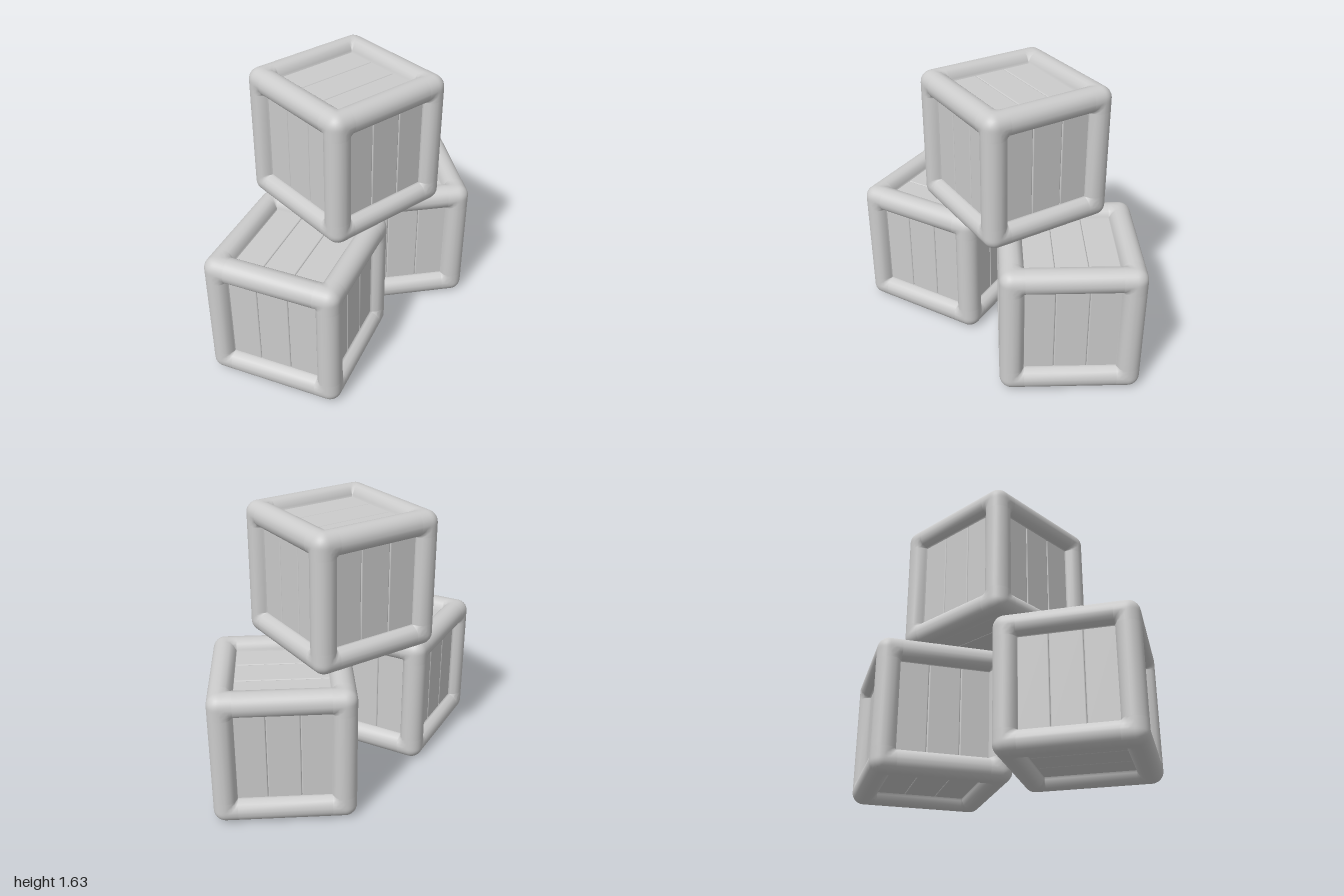
import * as THREE from 'three';
import { mergeVertices } from 'three/addons/utils/BufferGeometryUtils.js';
import { RoundedBoxGeometry } from 'three/addons/geometries/RoundedBoxGeometry.js';

const HALF = 0.4075;   // half the crate's side
const ROUND = 0.07;    // radius of the outer edges
const CORE = HALF - ROUND;

// Inner lip of the frame: [distance from face centre, height of the face]
const LIP = [[0.265, 0.33], [0.269, 0.358], [0.284, 0.387], [0.303, 0.402], [0.325, HALF]];

// Grid lines across one face, denser at the lip and the rounded edges
const outer = [0, 1, 2, 3, 4].map(i => CORE + ROUND * Math.tan(i * Math.PI / 16));
const positive = [...LIP.map(p => p[0]), ...outer];
const ticks = [...positive.map(t => -t).reverse(), ...positive];

// A subdivided box whose edges are rounded and whose faces are sunk inside the lip
function frameGeometry() {
  const n = ticks.length - 1;
  const box = new THREE.BoxGeometry(1, 1, 1, n, n, n);
  box.deleteAttribute('normal');
  box.deleteAttribute('uv');
  const geo = mergeVertices(box, 1e-5);
  const pos = geo.attributes.position;
  const p = new THREE.Vector3(), core = new THREE.Vector3();
  for (let i = 0; i < pos.count; i++) {
    const c = [0, 1, 2].map(k => ticks[Math.round((pos.getComponent(i, k) + 0.5) * n)]);
    const size = c.map(Math.abs);
    const axis = size.indexOf(Math.max(...size));
    const across = Math.max(...size.filter((_, k) => k !== axis));
    const lip = LIP.find(l => across <= l[0] + 1e-6);
    if (lip) c[axis] = Math.sign(c[axis]) * lip[1];
    p.fromArray(c);
    if (!lip) {
      core.copy(p).clampScalar(-CORE, CORE);
      p.sub(core).setLength(ROUND).add(core);
    }
    pos.setXYZ(i, p.x, p.y, p.z);
  }
  geo.computeVertexNormals();
  return geo;
}

export function createModel() {
  const model = new THREE.Group();
  model.name = 'crateStack';
  const material = new THREE.MeshStandardMaterial({ color: 0xcccccc });
  const frameGeo = frameGeometry();
  const plankGeo = new RoundedBoxGeometry(0.19, 0.57, 0.04, 2, 0.008);

  // Three planks filling one sunken face
  function panel(name, rx, ry, rz) {
    const group = new THREE.Group();
    group.name = name;
    group.rotation.set(rx, ry, rz);
    for (const x of [-0.19, 0, 0.19]) {
      const plank = new THREE.Mesh(plankGeo, material);
      plank.name = 'plank';
      plank.position.set(x, 0, 0.325);
      group.add(plank);
    }
    return group;
  }

  function crate(name, x, y, z, turn) {
    const group = new THREE.Group();
    group.name = name;
    group.position.set(x, y, z);
    group.rotation.y = turn;
    const frame = new THREE.Mesh(frameGeo, material);
    frame.name = 'frame';
    group.add(frame);
    // Upright planks on the sides, planks along x on top and bottom
    const q = Math.PI / 2;
    ['frontPanel', 'leftPanel', 'backPanel', 'rightPanel'].forEach((side, i) => group.add(panel(side, 0, i * q, 0)));
    group.add(panel('topPanel', -q, 0, q), panel('bottomPanel', q, 0, q));
    model.add(group);
  }

  crate('lowerRightCrate', -0.48, HALF, 0.125, 0.485);
  crate('lowerLeftCrate', 0.47, HALF, -0.125, -0.524);
  crate('upperCrate', 0.01, HALF * 3 + 0.005, -0.04, 0);
  return model;
}
